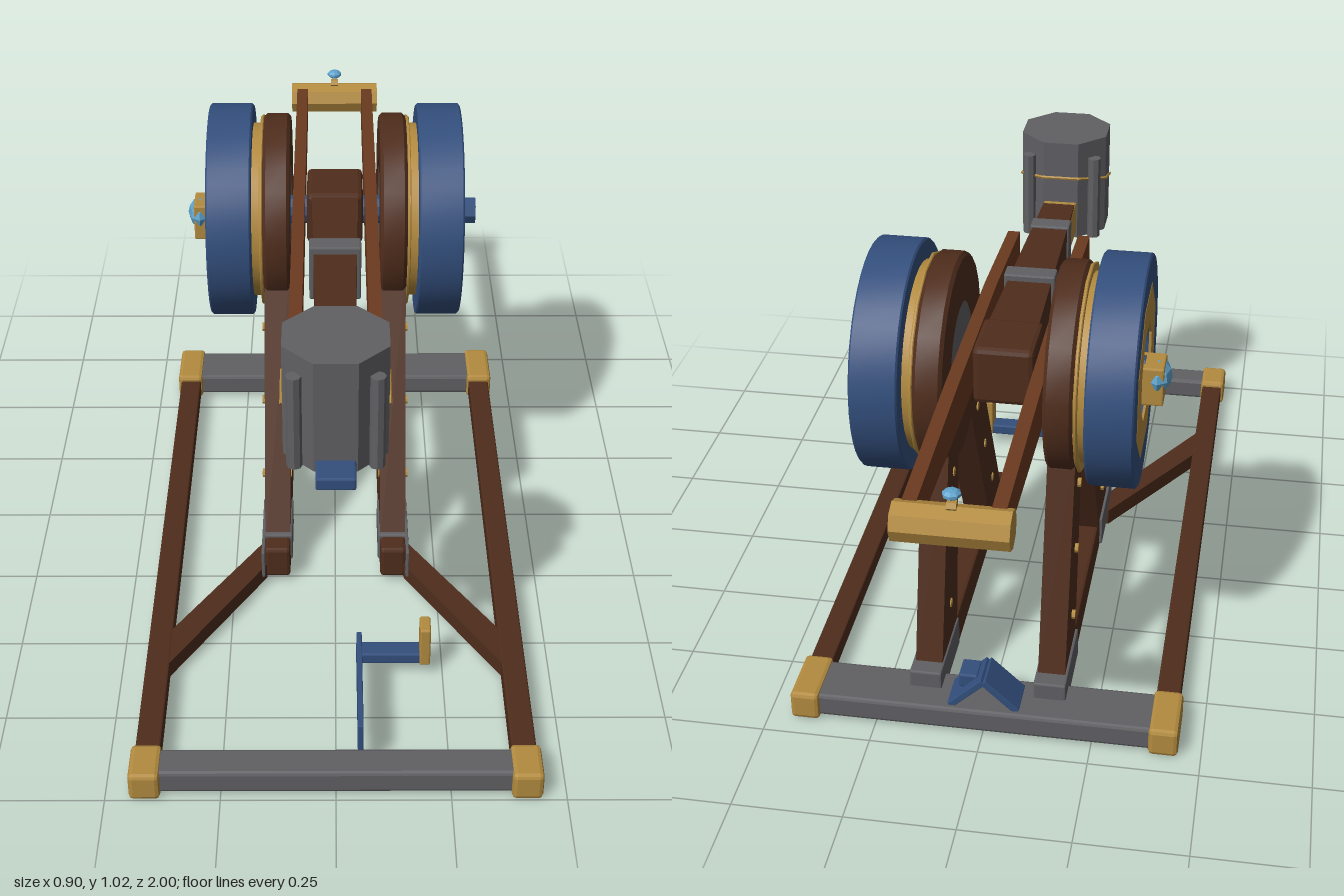
import * as THREE from 'three';
import { toCreasedNormals } from 'three/addons/utils/BufferGeometryUtils.js';
import { RoundedBoxGeometry } from 'three/addons/geometries/RoundedBoxGeometry.js';

const mat = (color) => new THREE.MeshStandardMaterial({ color, flatShading: true });
const WOOD = mat(0x4f2d1c), ARM = mat(0x6b3a20), GOLD = mat(0xb38b3f);
const IRON = mat(0x606064), BLUE = mat(0x334f7d), GEM = mat(0x5fa3cc);
const SMOOTH = { blue: BLUE.clone(), gold: GOLD.clone(), wood: WOOD.clone() };
Object.values(SMOOTH).forEach((m) => { m.flatShading = false; });

const HUB_Y = 0.757, HUB_Z = -0.285;

export function createModel() {
  const model = new THREE.Group();
  model.name = 'siegeEngine';

  const add = (name, geometry, material) => {
    const mesh = new THREE.Mesh(geometry, material);
    mesh.name = name;
    model.add(mesh);
    return mesh;
  };

  // Softly bevelled box given by its extents
  const box = (name, m, x0, x1, y0, y1, z0, z1, bevel = 0.004) => {
    const g = new RoundedBoxGeometry(x1 - x0, y1 - y0, z1 - z0, 1, bevel);
    g.translate((x0 + x1) / 2, (y0 + y1) / 2, (z0 + z1) / 2);
    return add(name, g, m);
  };

  // Side profile of [z, y] points, extruded across x
  const sidePrism = (name, m, points, cx, width) => {
    const shape = new THREE.Shape(points.map(([z, y]) => new THREE.Vector2(-z, y)));
    const g = new THREE.ExtrudeGeometry(shape, { depth: width, bevelEnabled: false });
    g.translate(0, 0, -width / 2).rotateY(Math.PI / 2).translate(cx, 0, 0);
    return add(name, g, m);
  };

  // Cylinder lying along x
  const drum = (name, m, r, cx, width, y, z, sides = 32) => {
    let g = new THREE.CylinderGeometry(r, r, width, sides);
    g.rotateZ(-Math.PI / 2).translate(cx, y, z);
    if (!m.flatShading) g = toCreasedNormals(g, 0.6);
    return add(name, g, m);
  };

  // Bevelled ring around the hub axis
  const ring = (name, m, inner, outer, cx, width, bevel, sides = 40) => {
    const h = width / 2;
    const profile = [
      [inner, -h], [outer - bevel, -h], [outer, -h + bevel],
      [outer, h - bevel], [outer - bevel, h], [inner, h], [inner, -h],
    ].map(([r, y]) => new THREE.Vector2(r, y));
    let g = new THREE.LatheGeometry(profile, sides, Math.PI / sides);
    g = toCreasedNormals(g, 0.5);
    g.rotateZ(-Math.PI / 2).translate(cx, HUB_Y, HUB_Z);
    return add(name, g, m);
  };

  // Ground frame
  box('frontBeam', IRON, -0.4, 0.4, 0.008, 0.065, 0.91, 0.985, 0.008);
  box('backBeam', IRON, -0.4, 0.4, 0.008, 0.065, -0.69, -0.56, 0.008);
  for (const s of [-1, 1]) {
    const span = (a, b) => (s > 0 ? [a, b] : [-b, -a]);
    box('frontCornerCap', GOLD, ...span(0.38, 0.448), 0, 0.07, 0.9, 1, 0.01);
    box('backCornerCap', GOLD, ...span(0.38, 0.448), 0, 0.07, -0.7, -0.55, 0.01);
    box('sideRail', WOOD, ...span(0.385, 0.44), 0.01, 0.055, -0.56, 0.91);
    box('innerRail', WOOD, ...span(0.112, 0.175), 0.015, 0.1, -0.6, 0.27, 0.008);
    box('frontBracket', IRON, ...span(0.107, 0.182), 0.03, 0.106, 0.07, 0.22);
    box('frontBracketPlate', IRON, ...span(0.174, 0.182), 0.03, 0.106, 0.07, 0.29, 0.002);
    box('backBracket', IRON, ...span(0.107, 0.182), 0.03, 0.106, -0.62, -0.4);

    // Diagonal brace in plan
    const brace = new THREE.Shape([[0.17, -0.19], [0.185, -0.19], [0.4, -0.53], [0.4, -0.65], [0.17, -0.27]]
      .map(([x, y]) => new THREE.Vector2(s * x, y)));
    const braceGeo = new THREE.ExtrudeGeometry(brace, { depth: 0.042, bevelEnabled: false });
    braceGeo.rotateX(-Math.PI / 2).translate(0, 0.012, 0);
    add('diagonalBrace', braceGeo, WOOD);

    // Legs and their bolts
    sidePrism('frontLeg', WOOD, [[0.22, 0.08], [0.05, 0.08], [-0.23, 0.64], [-0.1, 0.69]], s * 0.1435, 0.063);
    sidePrism('backLeg', WOOD, [[-0.405, 0.08], [-0.585, 0.08], [-0.44, 0.64], [-0.32, 0.66]], s * 0.1435, 0.063);
    for (const [z, y] of [[0.085, 0.2], [-0.01, 0.36], [-0.1, 0.52], [-0.47, 0.2], [-0.43, 0.36], [-0.4, 0.52]]) {
      drum('legBolt', GOLD, 0.011, s * 0.146, 0.074, y, z, 8);
    }

    // Hub and wheel
    ring('hubRing', SMOOTH.wood, 0.13, 0.242, s * 0.143, 0.066, 0.008, 24);
    drum('hubPlate', IRON, 0.135, s * 0.143, 0.06, HUB_Y, HUB_Z, 24);
    ring('hubTrim', SMOOTH.gold, 0.1, 0.24, s * 0.18, 0.008, 0.002, 16);
    drum('wheelSeat', SMOOTH.gold, 0.218, s * 0.188, 0.03, HUB_Y, HUB_Z);
    ring('wheel', SMOOTH.blue, 0.115, 0.266, s * 0.257, 0.108, 0.004);
    ring('wheelFaceInlay', SMOOTH.gold, 0.115, 0.2, s * 0.309, 0.006, 0.001, 8);
  }

  // Axle and its end fittings
  drum('axle', BLUE, 0.036, 0, 0.62, HUB_Y, HUB_Z, 10);
  drum('axleStub', BLUE, 0.034, 0.328, 0.054, 0.753, HUB_Z, 8);
  box('axleEndBlock', GOLD, -0.355, -0.3, 0.69, 0.785, -0.325, -0.245);
  const endGem = new THREE.SphereGeometry(0.045, 8, 6);
  endGem.scale(0.7, 0.8, 1.1).translate(-0.34, 0.75, HUB_Z);
  add('axleGem', endGem, GEM);

  // Tapered central arm
  const arm = new THREE.BoxGeometry(0.12, 0.13, 0.8);
  const p = arm.attributes.position;
  for (let i = 0; i < p.count; i++) {
    if (p.getZ(i) > 0) p.setXY(i, p.getX(i) * 0.68, p.getY(i) * 0.62);
  }
  arm.translate(0, 0.76, 0.1);
  add('centralArm', arm, WOOD);
  box('pivotBlock', WOOD, -0.07, 0.07, 0.69, 0.83, -0.375, -0.22, 0.012);
  box('armTip', GOLD, -0.043, 0.043, 0.71, 0.795, 0.385, 0.54);
  box('armFrontBand', IRON, -0.05, 0.05, 0.7, 0.812, 0.33, 0.38);
  box('armRearBand', IRON, -0.062, 0.062, 0.69, 0.832, 0, 0.05);

  // Twin beams swelling at the pivot
  for (const s of [-1, 1]) {
    sidePrism('sideBeam', ARM,
      [[0.32, 0.72], [0.32, 0.797], [-0.02, 0.815], [-0.5, 0.81], [-0.96, 0.792], [-0.96, 0.722], [-0.5, 0.708], [-0.02, 0.705]],
      s * 0.09, 0.03);
  }

  // Rear crossbar
  drum('rearCrossbar', GOLD, 0.043, 0, 0.24, 0.758, -0.957, 8);
  drum('gemStem', GOLD, 0.012, 0, 0.02, 0.802, -0.957, 6);
  const gem = new THREE.SphereGeometry(0.02, 8, 5);
  gem.scale(1, 0.55, 1).translate(0, 0.83, -0.957);
  add('crossbarGem', gem, GEM);

  // Octagonal weight with corner posts
  const headZ = 0.637;
  const head = new THREE.CylinderGeometry(0.12, 0.12, 0.265, 8, 1, false, Math.PI / 8);
  head.translate(0, 0.8275, headZ);
  add('weight', head, IRON);
  for (const sx of [-1, 1]) for (const sz of [-1, 1]) {
    const post = new THREE.CylinderGeometry(0.017, 0.017, 0.222, 8);
    post.translate(sx * 0.086, 0.804, headZ + sz * 0.086);
    add('weightPost', post, IRON);
  }

  // Tilted wire around the rear of the weight
  const wire = [];
  for (let i = 0; i <= 5; i++) {
    const a = Math.PI / 8 + i * Math.PI / 4 - Math.PI / 4;
    const z = headZ - 0.122 * Math.sin(a);
    wire.push(new THREE.Vector3(0.122 * Math.cos(a), 0.865 - (z - 0.52) * 0.28, z));
  }
  const wirePath = new THREE.CurvePath();
  for (let i = 0; i < 5; i++) wirePath.add(new THREE.LineCurve3(wire[i], wire[i + 1]));
  add('weightWire', new THREE.TubeGeometry(wirePath, 40, 0.004, 5), GOLD);
  box('weightFoot', BLUE, -0.042, 0.042, 0.693, 0.722, 0.72, 0.812);

  // Trigger panel, its arm and post
  box('triggerPanel', BLUE, 0.048, 0.06, 0.04, 0.135, 0.61, 0.915, 0.002);
  box('triggerArm', BLUE, 0.048, 0.205, 0.035, 0.064, 0.565, 0.61);
  box('triggerPost', GOLD, 0.195, 0.22, 0.035, 0.14, 0.562, 0.615);

  // Peaked guide on the back beam
  for (const s of [-1, 1]) {
    const plate = box('guidePlate', BLUE, -0.054, 0.054, -0.008, 0.008, -0.045, 0.045, 0.002);
    plate.position.set(s * 0.039, 0.1, -0.63);
    plate.rotation.z = -s * 0.76;
  }
  box('guideBlock', BLUE, 0.016, 0.06, 0.1, 0.135, -0.65, -0.59);

  return model;
}
